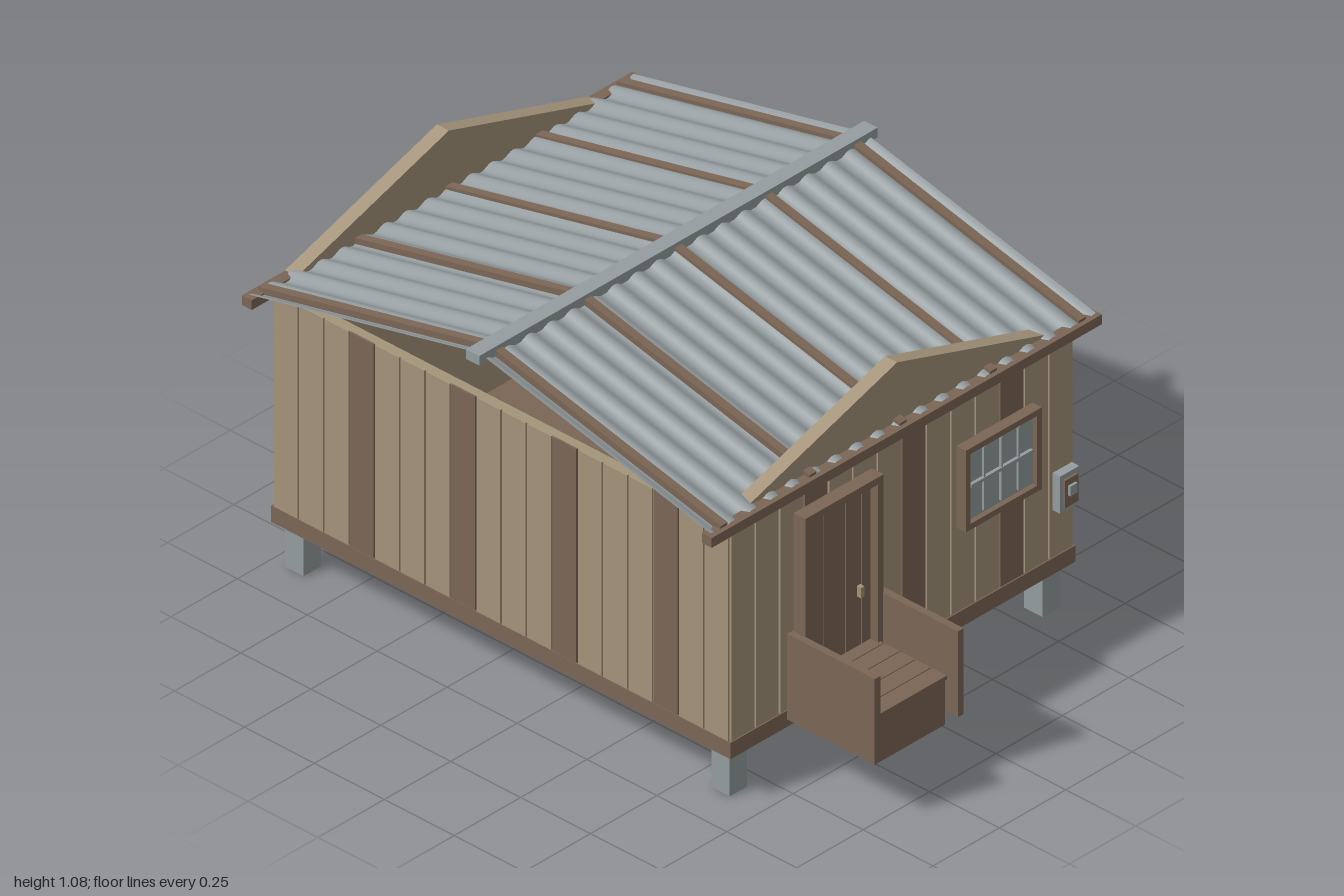
import * as THREE from 'three';

const mat = (name, color, side = THREE.FrontSide) => {
  const m = new THREE.MeshStandardMaterial({ color, side });
  m.name = name;
  return m;
};

export function createModel() {
  const metal = mat('galvanised metal', 0x959da0, THREE.DoubleSide);
  const tan = mat('pale wood', 0xa5947a);
  const brown = mat('dark wood', 0x7c6656);
  const house = new THREE.Group();
  house.name = 'cabin';

  const add = (parent, name, geo, material, x = 0, y = 0, z = 0) => {
    const m = new THREE.Mesh(geo, material);
    m.name = name;
    m.position.set(x, y, z);
    parent.add(m);
    return m;
  };
  // Box given by its min and max on each axis
  const box = (parent, name, material, x0, x1, y0, y1, z0, z1) =>
    add(parent, name, new THREE.BoxGeometry(x1 - x0, y1 - y0, z1 - z0), material,
      (x0 + x1) / 2, (y0 + y1) / 2, (z0 + z1) / 2);
  const group = (name, parent = house) => {
    const g = new THREE.Group();
    g.name = name;
    parent.add(g);
    return g;
  };
  // Wavy sheet facing +z
  const corrugated = (w, h, waves, amp) => {
    const geo = new THREE.PlaneGeometry(w, h, waves * 8, 1);
    const p = geo.attributes.position;
    for (let i = 0; i < p.count; i++) {
      p.setZ(i, amp * Math.cos((p.getX(i) / w + 0.5) * waves * Math.PI * 2));
    }
    geo.computeVertexNormals();
    return geo;
  };

  // Floor and posts
  box(house, 'floor', brown, -0.65, 0.65, 0.14, 0.19, -0.975, 0.668);
  for (const x of [-0.59, 0, 0.588]) {
    for (const z of [0.607, -0.917]) {
      box(house, 'post', metal, x - 0.033, x + 0.033, 0, 0.14, z - 0.033, z + 0.033);
    }
  }

  // Drum under the floor
  const drum = group('drum');
  drum.position.set(0.45, 0, -0.685);
  add(drum, 'drumBody', new THREE.CylinderGeometry(0.082, 0.082, 0.14, 20), metal, 0, 0.07, 0);
  for (const s of [-1, 1]) box(drum, 'drumLug', metal, s * 0.081 - 0.004, s * 0.081 + 0.004, 0.1, 0.115, -0.01, 0.01);

  // Plank walls, every fourth plank dark
  const plankWall = (name, width, count, x, z, turn) => {
    const wall = group(name);
    box(wall, 'wallBacking', tan, -width / 2, width / 2, 0.19, 0.85, -0.034, -0.006);
    const w = width / count;
    for (let i = 0; i < count; i++) {
      const x0 = -width / 2 + i * w;
      const dark = (turn === Math.PI ? count - 1 - i : i) % 4 === 3;
      box(wall, 'plank', dark ? brown : tan, x0 + 0.003, x0 + w - 0.003, 0.19, 0.85, -0.006, 0);
    }
    wall.position.set(x, 0, z);
    wall.rotation.y = turn;
  };
  plankWall('frontWall', 1.29, 14, 0, 0.664, 0);
  plankWall('backWall', 1.29, 14, 0, -0.972, Math.PI);
  plankWall('leftPlankWall', 1.63, 18, -0.648, -0.154, -Math.PI / 2);

  // Corrugated side wall
  add(house, 'corrugatedWall', corrugated(1.605, 0.667, 16, 0.006), metal, 0.649, 0.5165, -0.1725)
    .rotation.y = Math.PI / 2;

  // Gables and eave beams
  const tri = new THREE.Shape([[-0.65, 0.845], [0.65, 0.845], [0, 1.052]].map(p => new THREE.Vector2(...p)));
  const gable = new THREE.ExtrudeGeometry(tri, { depth: 0.043, bevelEnabled: false });
  add(house, 'frontGable', gable, tan, 0, 0, 0.604);
  add(house, 'backGable', gable, tan, 0, 0, -0.999);
  box(house, 'frontEaveBeam', brown, -0.735, 0.735, 0.84, 0.87, 0.647, 0.682);
  box(house, 'backEaveBeam', brown, -0.735, 0.735, 0.84, 0.87, -0.998, -0.963);

  // Roof: two slopes sharing one ridge
  const run = 0.825, drop = 0.188, len = Math.hypot(run, drop), slope = Math.atan2(drop, run);
  for (const side of [0, 1]) {
    const half = group(side ? 'backRoof' : 'frontRoof');
    half.position.set(0, 1.055, -0.158);
    half.rotation.y = side * Math.PI;
    const deck = group('roofSlope', half);
    deck.rotation.x = -Math.PI / 2 + slope;
    add(deck, 'roofSheet', corrugated(1.45, len, 18, 0.007), metal, 0, -len / 2, 0);
    for (const x of [-0.675, -0.34, 0, 0.34, 0.675]) {
      box(deck, 'roofBatten', brown, x - 0.013, x + 0.013, -len, 0, -0.011, 0.013);
    }
    // Patch sheet below the front slope
    if (!side) box(deck, 'roofPatch', metal, -0.415, -0.21, -0.4, -0.01, -0.02, -0.014);
  }
  box(house, 'ridgeCap', metal, -0.75, 0.75, 1.045, 1.075, -0.183, -0.135);

  // Door with frame, boards and handle
  const door = group('door');
  box(door, 'doorJamb', brown, -0.435, -0.413, 0.19, 0.81, 0.69, 0.732);
  box(door, 'doorJamb', brown, -0.162, -0.14, 0.19, 0.81, 0.69, 0.732);
  box(door, 'doorHead', brown, -0.413, -0.162, 0.788, 0.81, 0.69, 0.732);
  for (const [a, b] of [[-0.413, -0.338], [-0.336, -0.258], [-0.253, -0.198], [-0.193, -0.162]]) {
    box(door, 'doorBoard', brown, a, b, 0.19, 0.788, 0.687, 0.705);
  }
  box(door, 'doorHandle', tan, -0.213, -0.2, 0.455, 0.487, 0.705, 0.72);

  // Front step with boarded top and side panels
  const step = group('frontStep');
  box(step, 'stepBase', brown, -0.415, -0.158, 0.15, 0.29, 0.695, 0.968);
  for (let i = 0; i < 5; i++) {
    const z = 0.69 + i * 0.0565;
    box(step, 'stepBoard', brown, -0.42, -0.153, 0.288, 0.3, z, z + 0.054);
  }
  box(step, 'stepSide', brown, -0.456, -0.434, 0.18, 0.445, 0.687, 1);
  box(step, 'stepSide', brown, -0.143, -0.121, 0.18, 0.445, 0.687, 1);

  // Window
  const win = group('window');
  box(win, 'windowPane', metal, 0.195, 0.452, 0.49, 0.712, 0.69, 0.706);
  box(win, 'windowSide', brown, 0.18, 0.198, 0.475, 0.727, 0.688, 0.722);
  box(win, 'windowSide', brown, 0.448, 0.466, 0.475, 0.727, 0.688, 0.722);
  box(win, 'windowRail', brown, 0.198, 0.448, 0.475, 0.493, 0.688, 0.722);
  box(win, 'windowRail', brown, 0.198, 0.448, 0.709, 0.727, 0.688, 0.722);
  for (const x of [0.26, 0.325, 0.39]) box(win, 'glazingBar', metal, x - 0.003, x + 0.003, 0.503, 0.7, 0.706, 0.714);
  box(win, 'glazingBar', metal, 0.208, 0.44, 0.596, 0.606, 0.706, 0.716);

  // Meter box
  const meter = group('meterBox');
  box(meter, 'meterCase', metal, 0.535, 0.607, 0.365, 0.48, 0.695, 0.722);
  box(meter, 'meterPlate', brown, 0.546, 0.596, 0.38, 0.465, 0.722, 0.729);
  box(meter, 'meterDial', metal, 0.558, 0.585, 0.415, 0.445, 0.729, 0.737);

  return house;
}
